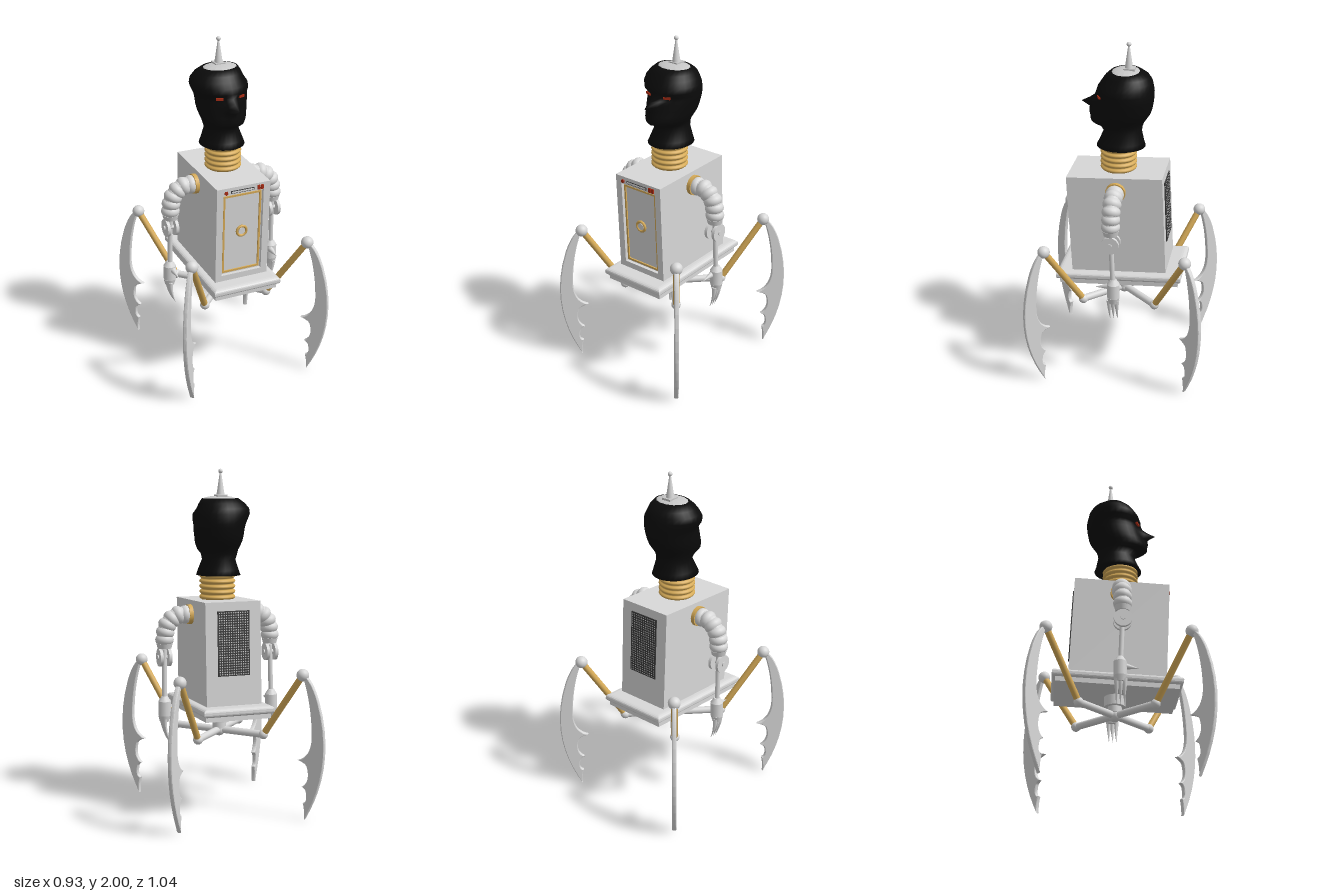
import * as THREE from 'three';

const V = (x, y, z) => new THREE.Vector3(x, y, z);
const mat = (name, color, extra = {}) => {
  const m = new THREE.MeshStandardMaterial({ color, ...extra });
  m.name = name;
  return m;
};

export function createModel() {
  const silver = mat('silver', 0xd8d8d8);
  const facetSilver = mat('facetedSilver', 0xc8c8c8, { flatShading: true });
  const brass = mat('brass', 0xd6ab58);
  const black = mat('black', 0x0b0b0b);
  const red = mat('red', 0xa82c14);
  const dark = mat('darkGrey', 0x3c3c3c);

  const root = new THREE.Group();
  root.name = 'robot';
  const add = (parent, name, geo, material, x = 0, y = 0, z = 0) => {
    const m = new THREE.Mesh(geo, material);
    m.name = name;
    m.position.set(x, y, z);
    parent.add(m);
    return m;
  };
  const box = (w, h, d) => new THREE.BoxGeometry(w, h, d);
  const ball = (r) => new THREE.SphereGeometry(r, 20, 14);
  const cyl = (r1, r2, h, n = 24) => new THREE.CylinderGeometry(r1, r2, h, n);
  const rod = (parent, name, a, b, r, material) => {
    const m = add(parent, name, cyl(r, r, a.distanceTo(b), 14), material);
    m.position.copy(a).lerp(b, 0.5);
    m.quaternion.setFromUnitVectors(V(0, 1, 0), b.clone().sub(a).normalize());
  };
  const group = (name, x, y, z, parent = root) => {
    const g = new THREE.Group();
    g.name = name;
    g.position.set(x, y, z);
    parent.add(g);
    return g;
  };
  const rect = (w, h, Type = THREE.Shape) => new Type([
    new THREE.Vector2(-w / 2, -h / 2), new THREE.Vector2(w / 2, -h / 2),
    new THREE.Vector2(w / 2, h / 2), new THREE.Vector2(-w / 2, h / 2)]);
  const frame = (w, h, iw, ih, depth, holeY = 0) => {
    const s = rect(w, h);
    s.holes.push(new THREE.Path(rect(iw, ih).getPoints().map((p) => p.setY(p.y + holeY))));
    return new THREE.ExtrudeGeometry(s, { depth, bevelEnabled: false });
  };

  // Cabinet body, leaning slightly forward
  const body = group('body', 0, 0.95, 0.02);
  body.rotation.x = 0.047;
  add(body, 'cabinet', box(0.33, 0.592, 0.535), silver, 0, 0, -0.01);
  add(body, 'doorSurround', frame(0.33, 0.592, 0.25, 0.51, 0.02, -0.005), silver, 0, 0, 0.2575);
  add(body, 'doorTrim', frame(0.236, 0.49, 0.214, 0.468, 0.008), brass, 0, -0.005, 0.2575);
  add(body, 'doorKnobRing', new THREE.TorusGeometry(0.03, 0.008, 8, 12), brass, 0, 0.005, 0.266);
  add(body, 'doorKnob', cyl(0.02, 0.02, 0.014, 12), silver, 0, 0.005, 0.264).rotation.x = Math.PI / 2;
  add(body, 'slotPlate', box(0.145, 0.016, 0.004), dark, -0.008, 0.268, 0.279);
  add(body, 'slotBar', box(0.138, 0.009, 0.006), silver, -0.008, 0.268, 0.28);
  add(body, 'lampLeft', box(0.016, 0.026, 0.008), red, 0.092, 0.27, 0.281);
  add(body, 'lampLeft', box(0.016, 0.026, 0.008), red, 0.113, 0.27, 0.281);
  add(body, 'lampRight', cyl(0.012, 0.012, 0.008, 5), red, -0.11, 0.268, 0.281).rotation.x = Math.PI / 2;

  // Rear grille: dark panel with a field of small diamonds
  add(body, 'grillePanel', box(0.19, 0.37, 0.006), dark, 0, 0.06, -0.28);
  const diamonds = [];
  for (let j = 0; j < 26; j++) for (let i = 0; i < 13; i++) {
    const x = (i - 6) * 0.014, y = (j - 12.5) * 0.014;
    diamonds.push(new THREE.Shape([[0, -1], [1, 0], [0, 1], [-1, 0]]
      .map(([a, b]) => new THREE.Vector2(x + a * 0.0046, y + b * 0.0046))));
  }
  add(body, 'grilleMesh', new THREE.ShapeGeometry(diamonds), silver, 0, 0.06, -0.2842).rotation.y = Math.PI;

  // Stepped base plate
  const plate = new THREE.ExtrudeGeometry(rect(0.36, 0.68), {
    depth: 0.014, bevelThickness: 0.017, bevelSize: 0.03, bevelSegments: 4 });
  plate.rotateX(-Math.PI / 2);
  add(body, 'basePlate', plate, silver, 0, -0.328, 0);
  add(body, 'baseStep', box(0.39, 0.04, 0.7), silver, 0, -0.35, 0);

  // Pedestal and hub
  add(root, 'pedestal', cyl(0.062, 0.062, 0.06), silver, 0, 0.55, 0);
  add(root, 'pedestalNeck', cyl(0.04, 0.04, 0.05), silver, 0, 0.505, 0);
  add(root, 'hub', ball(0.038), silver, 0, 0.47, 0);

  // Four legs: strut, thigh and scalloped blade
  const s = new THREE.Shape();
  s.moveTo(0.005, -0.01);
  s.quadraticCurveTo(0.06, -0.16, 0.064, -0.35);
  s.quadraticCurveTo(0.062, -0.47, -0.024, -0.495);
  s.quadraticCurveTo(0.03, -0.51, 0.035, -0.53);
  s.quadraticCurveTo(0.06, -0.615, 0.004, -0.65);
  s.quadraticCurveTo(0.026, -0.66, 0.03, -0.675);
  s.quadraticCurveTo(0.044, -0.74, 0.012, -0.745);
  s.quadraticCurveTo(0.025, -0.79, 0.022, -0.845);
  s.bezierCurveTo(0.13, -0.66, 0.19, -0.42, 0.1, -0.14);
  s.quadraticCurveTo(0.07, -0.05, 0.03, -0.01);
  const bladeGeo = new THREE.ExtrudeGeometry(s, { depth: 0.01, curveSegments: 10,
    bevelThickness: 0.008, bevelSize: 0.005, bevelOffset: -0.005, bevelSegments: 2 });
  bladeGeo.translate(0, 0, -0.005);
  for (const sx of [1, -1]) for (const sz of [1, -1]) {
    const leg = group('leg', 0, 0, 0);
    const ankle = V(sx * 0.2, 0.47, sz * 0.213), knee = V(sx * 0.363, 0.845, sz * 0.405);
    rod(leg, 'hipStrut', V(0, 0.47, 0), ankle, 0.021, silver);
    add(leg, 'hipJoint', ball(0.028), silver).position.copy(ankle);
    rod(leg, 'thigh', ankle, knee, 0.019, brass);
    add(leg, 'kneeJoint', ball(0.036), silver).position.copy(knee);
    const blade = add(leg, 'blade', bladeGeo, silver);
    blade.position.copy(knee);
    blade.rotation.y = Math.atan2(-sz * 0.75, sx * 0.66);
  }

  // Arms: shoulder collar, bumpy sleeve, elbow clevis, forearm and claws
  const spike = (r, h, bend) => {
    const g = new THREE.ConeGeometry(r, h, 10, 8);
    g.rotateX(Math.PI);
    const p = g.attributes.position;
    for (let i = 0; i < p.count; i++) {
      const t = 0.5 - p.getY(i) / h;
      p.setX(i, p.getX(i) + bend * t * t);
    }
    g.computeVertexNormals();
    return g;
  };
  for (const sx of [1, -1]) {
    const arm = group(sx > 0 ? 'leftArm' : 'rightArm', 0, 0, 0.022);
    add(arm, 'shoulderCollar', cyl(0.058, 0.058, 0.024), brass, sx * 0.176, 1.163, 0).rotation.z = Math.PI / 2;
    const path = new THREE.CatmullRomCurve3([V(sx * 0.18, 1.162, 0), V(sx * 0.25, 1.16, 0),
      V(sx * 0.305, 1.115, 0), V(sx * 0.325, 1.05, 0), V(sx * 0.327, 0.99, 0)]);
    add(arm, 'sleeveCore', new THREE.TubeGeometry(path, 20, 0.045, 16), silver);
    for (let i = 0; i < 6; i++) {
      const t = (i + 0.5) / 6.2;
      const seg = add(arm, 'sleeveSegment', ball(0.054), silver);
      seg.position.copy(path.getPointAt(t));
      seg.quaternion.setFromUnitVectors(V(0, 1, 0), path.getTangentAt(t));
      seg.scale.y = 0.75;
    }
    add(arm, 'sleeveEnd', cyl(0.048, 0.04, 0.03), silver, sx * 0.327, 0.985, 0);
    for (const x of [0.303, 0.355])
      add(arm, 'elbowDisc', cyl(0.052, 0.052, 0.018), silver, sx * x, 0.917, 0).rotation.z = Math.PI / 2;
    add(arm, 'elbowPin', cyl(0.014, 0.014, 0.084, 12), silver, sx * 0.329, 0.917, 0).rotation.z = Math.PI / 2;
    rod(arm, 'forearm', V(sx * 0.328, 0.96, 0), V(sx * 0.333, 0.66, -0.012), 0.014, silver);
    add(arm, 'wristTop', cyl(0.018, 0.037, 0.03, 12), silver, sx * 0.333, 0.675, -0.015);
    add(arm, 'wrist', cyl(0.037, 0.037, 0.085, 12), silver, sx * 0.333, 0.618, -0.015);
    add(arm, 'palm', cyl(0.037, 0.028, 0.035, 12), silver, sx * 0.335, 0.558, -0.015);
    for (const z of [-0.022, 0, 0.022])
      add(arm, 'finger', spike(0.016, 0.145, -sx * 0.035), silver, sx * 0.34, 0.485, z - 0.013);
    const thumb = add(arm, 'thumb', spike(0.02, 0.085, 0), silver, sx * 0.322, 0.633, 0.05);
    thumb.rotation.x = -Math.PI / 2 + 0.15;
  }

  // Ribbed neck
  const rib = [];
  for (let i = 0; i <= 40; i++)
    rib.push(new THREE.Vector2(0.092 + 0.014 * Math.abs(Math.sin((i / 40) * Math.PI * 5)), 1.245 + i * 0.00385));
  add(root, 'neck', new THREE.LatheGeometry(rib, 24), brass, 0, 0, 0.033);

  // Head lofted from rings: height, right and left extent, front, back, nose bump
  const rings = [
    [1.39, 0.13, 0.127, 0.16, -0.122, 0], [1.42, 0.118, 0.118, 0.145, -0.112, 0],
    [1.48, 0.096, 0.096, 0.118, -0.1, 0], [1.515, 0.11, 0.1, 0.14, -0.105, 0],
    [1.535, 0.118, 0.112, 0.185, -0.113, 0.01], [1.56, 0.128, 0.125, 0.185, -0.13, 0.012],
    [1.585, 0.135, 0.135, 0.175, -0.147, 0.028], [1.615, 0.14, 0.142, 0.165, -0.158, 0.035],
    [1.645, 0.142, 0.148, 0.157, -0.164, 0.09], [1.67, 0.145, 0.152, 0.147, -0.168, 0.05],
    [1.69, 0.15, 0.154, 0.143, -0.17, 0.026], [1.715, 0.165, 0.156, 0.16, -0.17, 0],
    [1.745, 0.178, 0.155, 0.15, -0.165, 0], [1.775, 0.172, 0.135, 0.13, -0.158, 0],
    [1.805, 0.145, 0.122, 0.11, -0.14, 0], [1.832, 0.11, 0.105, 0.08, -0.1, 0]];
  const N = 28, pos = [], idx = [];
  rings.forEach(([y, xr, xl, zf, zb, nose], j) => {
    const mid = (zf + zb) / 2, half = (zf - zb) / 2;
    for (let i = 0; i < N; i++) {
      const a = (i / N) * Math.PI * 2, sn = Math.sin(a), k = Math.min(i, N - i);
      const bump = nose * (k === 0 ? 1 : k === 1 ? 0.3 : 0);
      pos.push(sn * (sn > 0 ? xl : xr), y, mid + Math.cos(a) * half + bump);
      const n = (i + 1) % N, p = j * N, q = p + N;
      if (j < rings.length - 1) idx.push(p + i, p + n, q + n, p + i, q + n, q + i);
    }
  });
  const last = (rings.length - 1) * N, c = rings.length * N;
  pos.push(0, 1.39, 0.02, 0, 1.835, -0.01);
  for (let i = 0; i < N; i++) {
    const n = (i + 1) % N;
    idx.push(n, i, c, last + i, last + n, c + 1);
  }
  const headGeo = new THREE.BufferGeometry();
  headGeo.setAttribute('position', new THREE.Float32BufferAttribute(pos, 3));
  headGeo.setIndex(idx);
  headGeo.computeVertexNormals();
  add(root, 'head', headGeo, black);
  for (const sx of [1, -1]) {
    const eye = add(root, 'eye', box(0.04, 0.013, 0.012), red, sx * 0.066, 1.692, 0.134);
    eye.rotation.y = sx * 0.4;
  }

  // Exposed metal crown with antenna
  const crown = add(root, 'crown', new THREE.SphereGeometry(1, 14, 8, 0, Math.PI * 2, 0, Math.PI / 2),
    facetSilver, 0, 1.822, -0.008);
  crown.scale.set(0.108, 0.025, 0.087);
  add(root, 'antennaMount', box(0.06, 0.014, 0.065), facetSilver, 0, 1.846, -0.028);
  add(root, 'antenna', cyl(0.004, 0.024, 0.135, 16), silver, 0, 1.915, -0.025);
  add(root, 'antennaTip', ball(0.013), silver, 0, 1.987, -0.025);

  return root;
}
